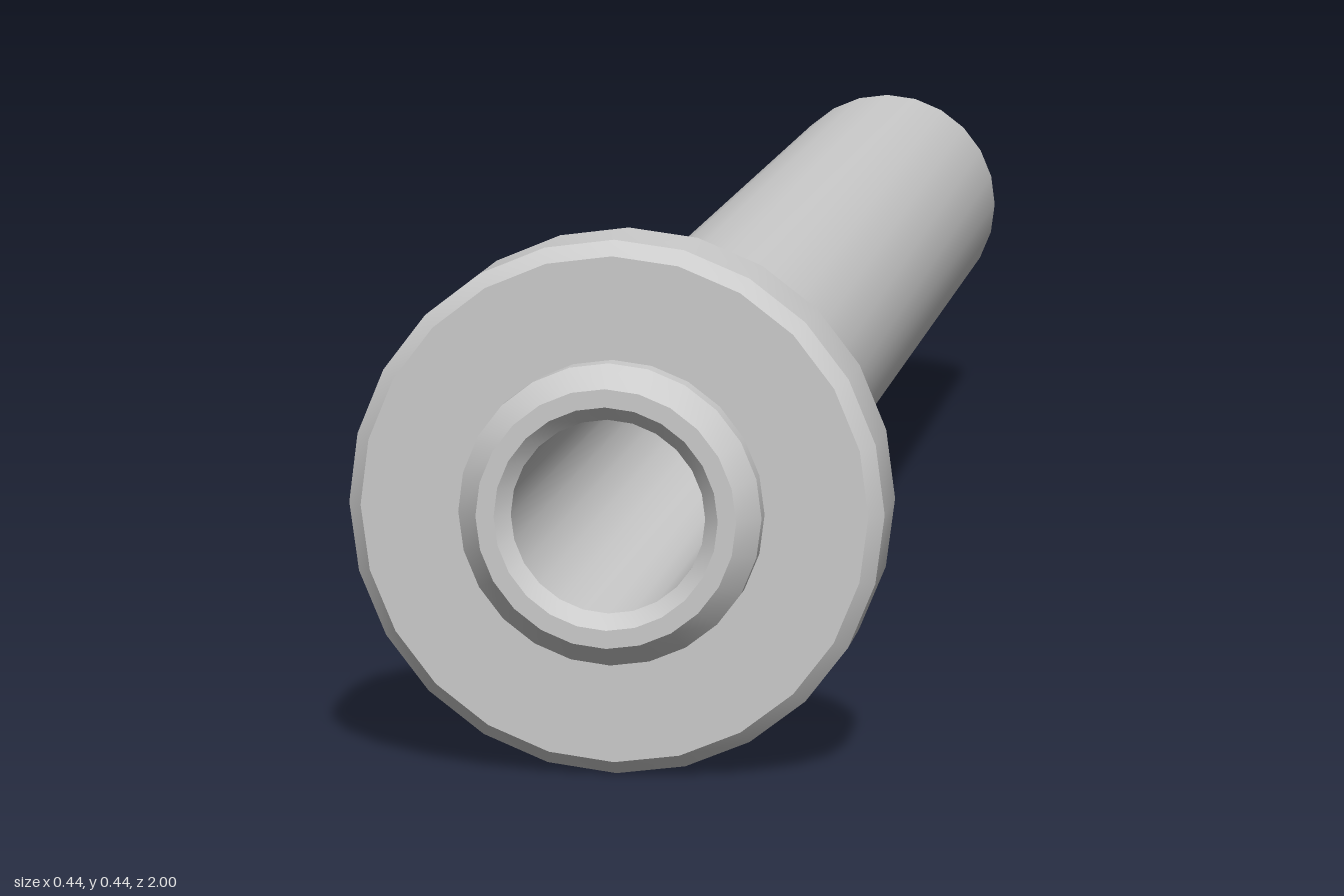
import * as THREE from 'three';
import { toCreasedNormals } from 'three/addons/utils/BufferGeometryUtils.js';

const SIDES = 24;
const RADIUS = 0.222; // flange radius, also the height of the axis

// Turned part: profile of [radius, z] from back to front, spun around the z axis
function turned(name, profile, material) {
  const points = profile.map(([r, z]) => new THREE.Vector2(r, z));
  const lathe = new THREE.LatheGeometry(points, SIDES);
  lathe.rotateX(Math.PI / 2);
  const mesh = new THREE.Mesh(toCreasedNormals(lathe, Math.PI / 7), material);
  mesh.name = name;
  mesh.position.y = RADIUS;
  return mesh;
}

export function createModel() {
  const group = new THREE.Group();
  group.name = 'flangedTube';
  const material = new THREE.MeshStandardMaterial({ color: 0xcccccc });

  // Long shaft with a closed back end, chamfered front lip and a deep blind bore
  group.add(turned('shaft', [
    [0, -1], [0.125, -1], [0.125, 0.98], [0.107, 1],
    [0.092, 1], [0.08, 0.988], [0.08, -0.95], [0, -0.95],
  ], material));

  // Wide flange with chamfered rims and a conical shoulder behind it
  group.add(turned('flange', [
    [0.12, 0.837], [0.165, 0.837], [0.193, 0.863], [0.21, 0.863],
    [RADIUS, 0.875], [RADIUS, 0.95], [0.21, 0.962], [0.12, 0.962],
  ], material));

  return group;
}
